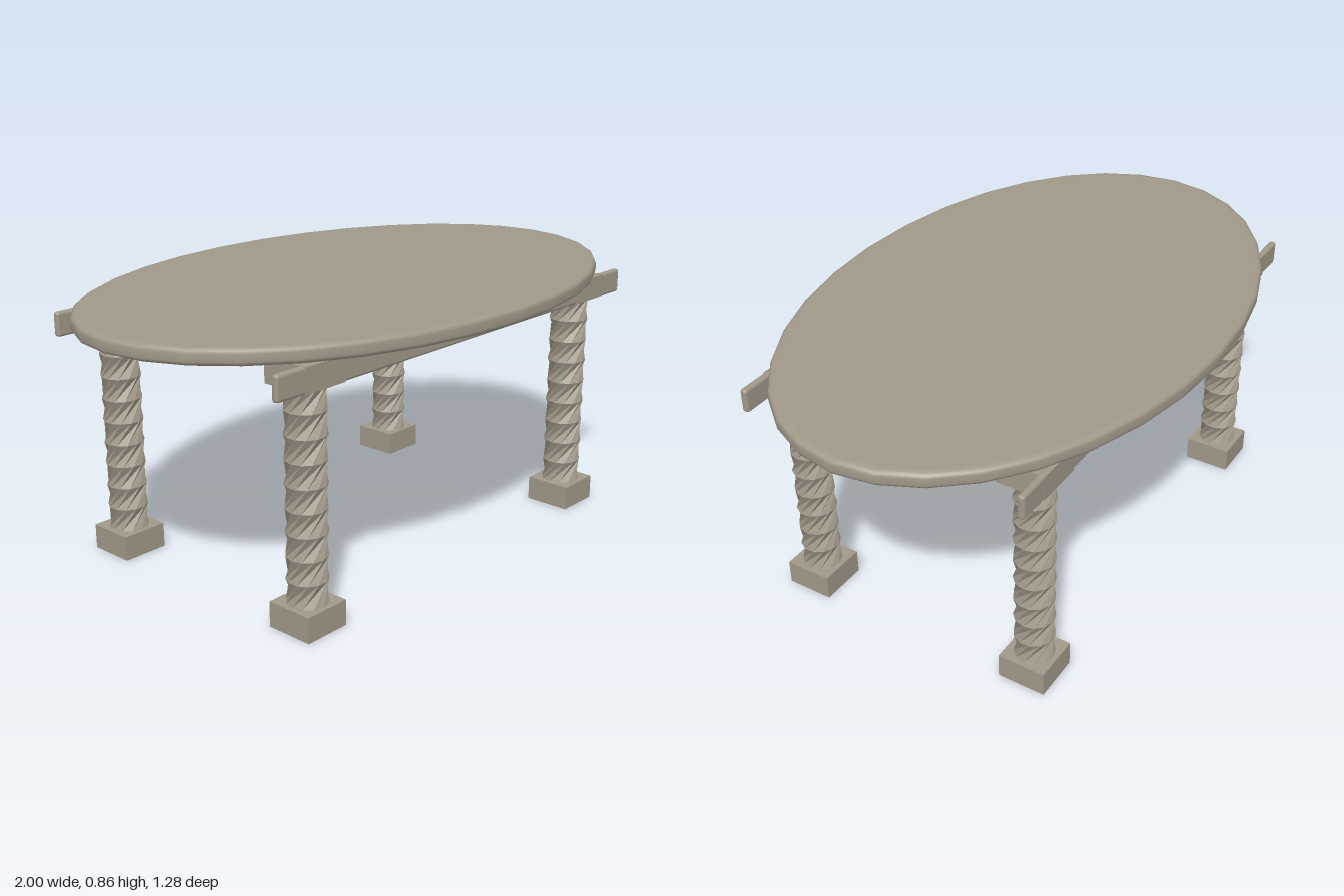
import * as THREE from 'three';
import { RoundedBoxGeometry } from 'three/addons/geometries/RoundedBoxGeometry.js';

const LEG_X = 0.639, LEG_Z = 0.4, BLOCK = 0.154;
const SHAFT_BOTTOM = 0.08, SHAFT_TOP = 0.73, TOP_UNDERSIDE = 0.806;

// Faceted column: each band turns the same way, pinching between its rings
function twistedShaft(radius, sides, bands, turnPerBand) {
  const height = SHAFT_TOP - SHAFT_BOTTOM;
  const geo = new THREE.CylinderGeometry(radius, radius, height, sides, bands, true);
  const pos = geo.attributes.position;
  for (let i = 0; i < pos.count; i++) {
    const band = Math.round((pos.getY(i) / height + 0.5) * bands);
    const a = Math.atan2(pos.getX(i), pos.getZ(i)) + band * turnPerBand;
    pos.setX(i, radius * Math.sin(a));
    pos.setZ(i, radius * Math.cos(a));
  }
  const flat = geo.toNonIndexed();
  flat.computeVertexNormals();
  return flat;
}

export function createModel() {
  const model = new THREE.Group();
  model.name = 'ovalTable';
  const wood = new THREE.MeshStandardMaterial({ color: 0xa09888 });
  wood.name = 'greyWood';

  const add = (parent, name, geo, x, y, z) => {
    const mesh = new THREE.Mesh(geo, wood);
    mesh.name = name;
    mesh.position.set(x, y, z);
    parent.add(mesh);
    return mesh;
  };

  // Oval top with a softened rim
  const profile = [
    [0, 0.806], [0.97, 0.806], [0.985, 0.807], [0.996, 0.812], [1, 0.82],
    [1, 0.842], [0.996, 0.85], [0.985, 0.855], [0.97, 0.856], [0, 0.856],
  ].map(([r, y]) => new THREE.Vector2(r, y));
  const topGeo = new THREE.LatheGeometry(profile, 32);
  topGeo.scale(1, 1, 0.64);
  add(model, 'tableTop', topGeo, 0, 0, 0);

  // Four legs: foot block, twisted shaft, head block
  const shaftGeo = twistedShaft(0.063, 12, 9, Math.PI / 4);
  const footGeo = new THREE.BoxGeometry(BLOCK, SHAFT_BOTTOM, BLOCK);
  const headGeo = new THREE.BoxGeometry(BLOCK, TOP_UNDERSIDE - SHAFT_TOP, BLOCK);
  for (const sx of [-1, 1]) {
    for (const sz of [-1, 1]) {
      const leg = new THREE.Group();
      leg.name = (sz > 0 ? 'front' : 'back') + (sx > 0 ? 'Left' : 'Right') + 'Leg';
      leg.position.set(sx * LEG_X, 0, sz * LEG_Z);
      add(leg, 'foot', footGeo, 0, SHAFT_BOTTOM / 2, 0);
      add(leg, 'twistedShaft', shaftGeo, 0, (SHAFT_BOTTOM + SHAFT_TOP) / 2, 0);
      add(leg, 'head', headGeo, 0, (SHAFT_TOP + TOP_UNDERSIDE) / 2, 0);
      model.add(leg);
    }
  }

  // Long rails under the top, reaching past the legs
  const railGeo = new RoundedBoxGeometry(1.64, 0.077, 0.023, 2, 0.009);
  add(model, 'frontRail', railGeo, 0, 0.769, 0.465);
  add(model, 'backRail', railGeo, 0, 0.769, -0.465);

  return model;
}
